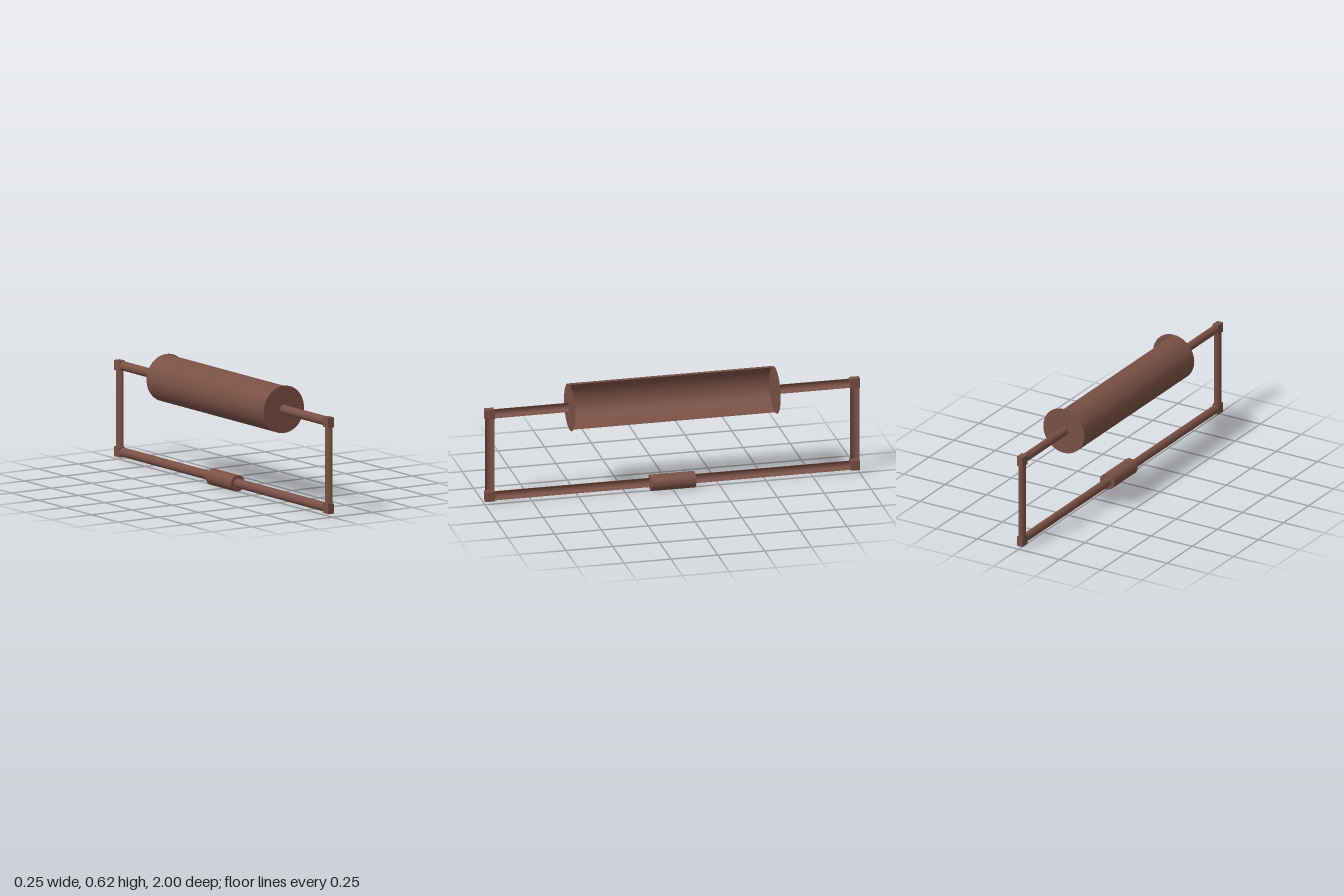
import * as THREE from 'three';

export function createModel() {
  const group = new THREE.Group();
  const mat = new THREE.MeshStandardMaterial({ color: 0x7a5044, side: THREE.DoubleSide, flatShading: true });

  const add = (name, geo, x, y, z) => {
    const mesh = new THREE.Mesh(geo, mat);
    mesh.name = name;
    mesh.position.set(x, y, z);
    group.add(mesh);
  };
  // Open half shell bulging towards -x, standing along y
  const halfShell = (r, length, sides) =>
    new THREE.CylinderGeometry(r, r, length, sides, 1, true, Math.PI, Math.PI);

  const topY = 0.5, lowY = 0.045, rodR = 0.025;
  const drumR = 0.125, drumHalf = 0.548;
  const hubR = 0.043, hubHalf = 0.118;
  const frameZ = 0.975, cornerInner = 0.95;

  // Half-round drum between two full end discs
  add('drumShell', halfShell(drumR, drumHalf * 2, 24).rotateX(Math.PI / 2), 0, topY, 0);

  // Handle grip on the lower rail
  add('grip', new THREE.CylinderGeometry(hubR, hubR, hubHalf * 2, 40).rotateX(Math.PI / 2), 0, 0.0435, 0);

  for (const s of [1, -1]) {
    add('drumEndDisc', new THREE.CircleGeometry(drumR, 48), 0, topY, s * drumHalf);

    // Horizontal half-round rods
    for (const [name, y, inner] of [['upperRod', topY, drumHalf], ['lowerRod', lowY, hubHalf]]) {
      const rod = halfShell(rodR, cornerInner - inner, 16).rotateX(Math.PI / 2);
      add(name, rod, 0, y, s * (cornerInner + inner) / 2);
      // Square corner joint
      add('cornerJoint', new THREE.BoxGeometry(0.035, 0.053, 0.05), -0.0075, y, s * frameZ);
    }

    // Upright half-round rod
    add('uprightRod', halfShell(rodR, topY - lowY - 0.05, 16), 0, (topY + lowY) / 2, s * frameZ);
  }
  return group;
}
